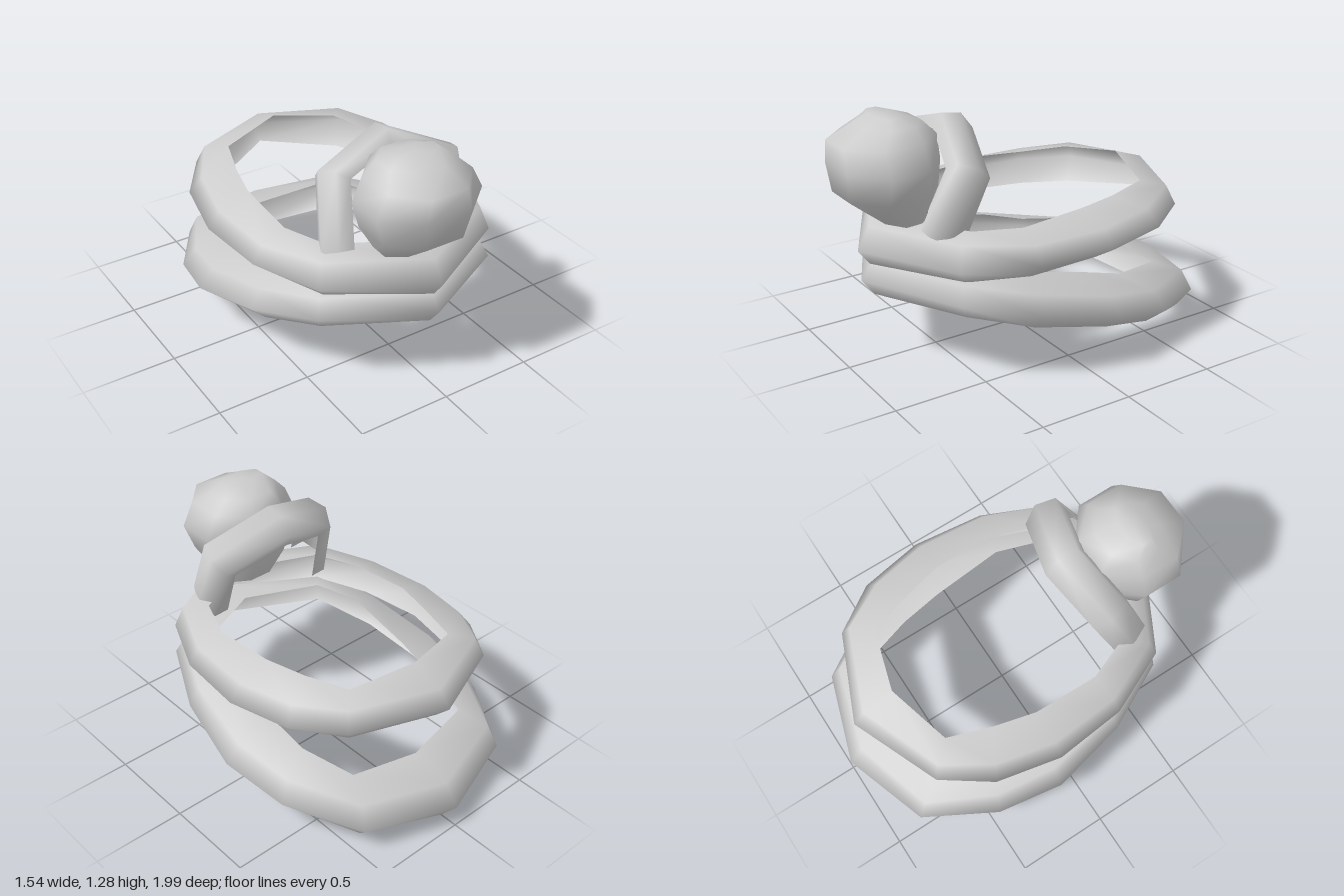
import * as THREE from 'three';

const material = new THREE.MeshStandardMaterial({ color: 0xcccccc, side: THREE.DoubleSide });

// Skin through cross-sections; loopPath joins last to first, loopSection closes each section
function loft(name, sections, loopPath, loopSection) {
  const n = sections[0].length, count = sections.length, index = [];
  for (let i = 0; i < (loopPath ? count : count - 1); i++) {
    for (let j = 0; j < (loopSection ? n : n - 1); j++) {
      const k = (j + 1) % n, next = ((i + 1) % count) * n;
      const a = i * n + j, b = next + j, c = next + k, d = i * n + k;
      index.push(a, d, c, a, c, b);
    }
  }
  const geometry = new THREE.BufferGeometry();
  geometry.setAttribute('position', new THREE.Float32BufferAttribute(sections.flat(2), 3));
  geometry.setIndex(index);
  geometry.computeVertexNormals();
  const mesh = new THREE.Mesh(geometry, material);
  mesh.name = name;
  return mesh;
}

// Band shell, open on its inner side:
// [outer x, z, inner x, z, outer tip y, shoulder y, inner crest y, bottom y, bottom inset]
function bandSection([ox, oz, ix, iz, tip, shoulder, crest, bottom, inset]) {
  const at = (f, y) => [ox + (ix - ox) * f, y, oz + (iz - oz) * f];
  return [at(inset, bottom), at(0, tip), at(0.27, shoulder), at(1, crest)];
}

// Half a ring from back to front, mirrored to the other side
function ring(name, half) {
  const mirrored = half.slice(1, -1).reverse()
    .map(([ox, oz, ix, iz, ...rest]) => [-ox, oz, -ix, iz, ...rest]);
  return loft(name, [...half, ...mirrored].map(bandSection), true, false);
}

// Broad arched bail leaning back over the rings, hollow underneath
function arch() {
  const points = [[0.285, 0.71, 0.61], [0.31, 1.03, 0.47], [0, 1.16, 0.37], [-0.3, 1.07, 0.43], [-0.35, 0.73, 0.54]]
    .map(p => new THREE.Vector3(...p));
  const back = new THREE.Vector3(0, -0.5, -0.866);
  const sections = points.map((p, i) => {
    const ahead = points[Math.min(i + 1, 4)], behind = points[Math.max(i - 1, 0)];
    const tangent = ahead.clone().sub(behind).normalize();
    const out = back.clone().cross(tangent).normalize();
    return [-2, -1, 0, 1, 2].map(k => {
      const a = k * Math.PI / 3;
      return p.clone().addScaledVector(out, 0.085 * Math.cos(a))
        .addScaledVector(back, 0.12 * Math.sin(a)).toArray();
    });
  });
  return loft('arch', sections, false, false);
}

// Faceted stone, open where it sits: levels of [y, centre x, centre z, half width, half depth]
function stone() {
  const levels = [
    [0.735, -0.03, 0.67, 0.16, 0.1],
    [0.90, -0.04, 0.735, 0.25, 0.24],
    [1.05, -0.035, 0.745, 0.3, 0.25],
    [1.17, -0.04, 0.745, 0.24, 0.25],
    [1.24, -0.045, 0.71, 0.17, 0.15],
    [1.28, -0.05, 0.73, 0.12, 0.06],
    [1.28, -0.05, 0.73, 0, 0],
  ];
  const sections = levels.map(([y, cx, cz, w, d]) => Array.from({ length: 8 }, (_, k) => {
    const a = (k + 0.5) / 8 * Math.PI * 2;
    return [cx + 1.08 * w * Math.cos(a), y, cz - 1.08 * d * Math.sin(a)];
  }));
  return loft('stone', sections, false, true);
}

export function createModel() {
  const model = new THREE.Group();
  model.name = 'stackedRings';
  model.add(
    ring('upperRing', [
      [0, -0.90, 0, -0.66, 0.70, 0.79, 0.85, 0.62, 0.33],
      [0.47, -0.70, 0.34, -0.56, 0.68, 0.78, 0.80, 0.565, 0.6],
      [0.64, -0.45, 0.42, -0.32, 0.66, 0.75, 0.79, 0.56, 0.55],
      [0.71, -0.10, 0.475, -0.10, 0.64, 0.73, 0.79, 0.56, 0.55],
      [0.67, 0.29, 0.475, 0.26, 0.63, 0.72, 0.76, 0.54, 0.55],
      [0.51, 0.64, 0.38, 0.50, 0.62, 0.74, 0.76, 0.54, 0.45],
      [0, 0.92, 0, 0.68, 0.62, 0.74, 0.75, 0.54, 0.25],
    ]),
    ring('lowerRing', [
      [0, -1, 0, -0.70, 0.12, 0.235, 0.29, 0, 0.33],
      [0.48, -0.84, 0.38, -0.64, 0.15, 0.27, 0.33, 0.06, 0.38],
      [0.70, -0.47, 0.46, -0.35, 0.21, 0.31, 0.36, 0.125, 0.4],
      [0.77, -0.12, 0.475, -0.12, 0.285, 0.38, 0.43, 0.20, 0.38],
      [0.69, 0.29, 0.475, 0.27, 0.37, 0.47, 0.53, 0.285, 0.38],
      [0.52, 0.64, 0.39, 0.50, 0.45, 0.54, 0.55, 0.37, 0.35],
      [0, 0.91, 0, 0.68, 0.46, 0.54, 0.545, 0.37, 0.3],
    ]),
    arch(),
    stone(),
  );
  return model;
}
